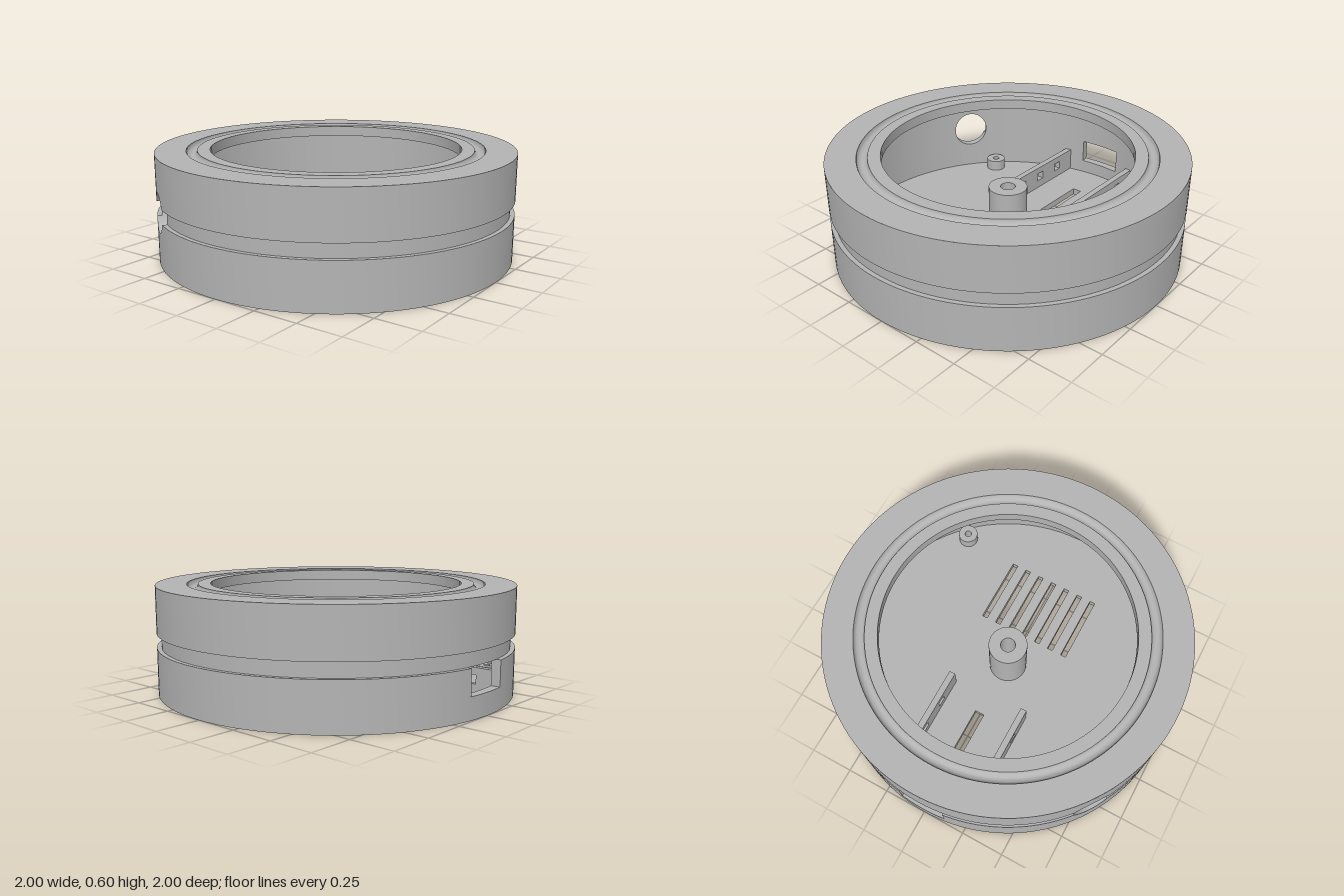
import * as THREE from 'three';
import { toCreasedNormals } from 'three/addons/utils/BufferGeometryUtils.js';

const FLOOR = 0.04, CAVITY = 0.95, GROOVE = 0.975;
const PORT_ANGLE = -Math.PI / 2, PORT_HALF = Math.asin(0.135);
const HOLE_ANGLE = THREE.MathUtils.degToRad(-35), HOLE_R = 0.11, HOLE_HALF = Math.asin(HOLE_R);

// Angular stations around the wall, each with the gap [low, high] cut through it
function wallStations() {
  const list = [];
  const arc = (from, to, low, high) => {
    const n = Math.max(1, Math.ceil((to - from) / (Math.PI / 64)));
    for (let i = 0; i <= n; i++) list.push([from + (to - from) * i / n, low, high]);
  };
  arc(-Math.PI, PORT_ANGLE - PORT_HALF, 0.3, 0.3);
  arc(PORT_ANGLE - PORT_HALF, PORT_ANGLE + PORT_HALF, 0.12, 0.26);
  arc(PORT_ANGLE + PORT_HALF, HOLE_ANGLE - HOLE_HALF, 0.3, 0.3);
  for (let i = 1; i < 32; i++) {
    const d = -HOLE_HALF * Math.cos(Math.PI * i / 32);
    const h = Math.sqrt(Math.max(0, HOLE_R ** 2 - Math.sin(d) ** 2));
    list.push([HOLE_ANGLE + d, 0.3 - h, 0.3 + h]);
  }
  arc(HOLE_ANGLE + HOLE_HALF, Math.PI, 0.3, 0.3);
  return list;
}

// Sweeps a cross-section that changes with the station around the y axis
function sweep(stations, profileAt) {
  const rings = stations.map((s) => profileAt(s).map(([r, y]) =>
    new THREE.Vector3(r * Math.sin(s[0]), y, r * Math.cos(s[0]))));
  const pos = [], tri = new THREE.Triangle();
  const add = (a, b, c) => {
    if (tri.set(a, b, c).getArea() > 1e-9) for (const v of [a, b, c]) pos.push(v.x, v.y, v.z);
  };
  for (let i = 0; i + 1 < rings.length; i++) {
    const p = rings[i], q = rings[i + 1];
    for (let j = 0; j + 1 < p.length; j++) {
      add(p[j], q[j], p[j + 1]);
      add(q[j + 1], p[j + 1], q[j]);
    }
  }
  const geo = new THREE.BufferGeometry();
  geo.setAttribute('position', new THREE.Float32BufferAttribute(pos, 3));
  return toCreasedNormals(geo, 0.5);
}

const lathe = (points, segments) => toCreasedNormals(
  new THREE.LatheGeometry(points.map(([r, y]) => new THREE.Vector2(r, y)), segments), 0.5);

// Hollow standing post with a through hole
const post = (outer, inner, top) => lathe(
  [[outer, FLOOR], [outer, top], [inner, top], [inner, 0]], 40);

function rectPath(x0, x1, y0, y1) {
  return new THREE.Path([[x0, y0], [x1, y0], [x1, y1], [x0, y1]].map(([x, y]) => new THREE.Vector2(x, y)));
}

export function createModel() {
  const group = new THREE.Group();
  const grey = new THREE.MeshStandardMaterial({ color: 0xb4b4b4 });
  grey.name = 'plain grey';
  const add = (name, geo, x = 0, y = 0, z = 0) => {
    const mesh = new THREE.Mesh(geo, grey);
    mesh.name = name;
    mesh.position.set(x, y, z);
    group.add(mesh);
  };

  // Outer wall with the belt groove, round hole and square port
  const stations = wallStations();
  add('lowerWall', sweep(stations, ([, low]) => {
    const m = Math.min(0.26, low);
    return [[CAVITY, 0], [1, 0], [1, m], [GROOVE, m], [GROOVE, low], [CAVITY, low], [CAVITY, 0]];
  }));
  add('upperWall', sweep(stations, ([, , high]) => {
    const m = Math.max(0.34, high);
    return [[CAVITY, 0.54], [CAVITY, high], [GROOVE, high], [GROOVE, m], [1, m], [1, 0.6]];
  }));

  // Top rim with a half-round seal groove and an inward lip
  const rim = [[1, 0.6]];
  for (let i = 0; i <= 14; i++) {
    const a = Math.PI * i / 14;
    rim.push([0.8 + 0.03 * Math.cos(a), 0.6 - 0.03 * Math.sin(a)]);
  }
  rim.push([0.7, 0.6], [0.7, 0.54], [CAVITY, 0.54]);
  add('topRim', lathe(rim, 128));

  // Floor with vents, a long slot, a centre hole and screw holes
  const corners = [1, 3, 5, 7].map((k) => [0.88 * Math.cos(k * Math.PI / 4), 0.88 * Math.sin(k * Math.PI / 4)]);
  const floor = new THREE.Shape().absarc(0, 0, CAVITY + 0.005, 0, Math.PI * 2);
  for (let i = -3; i <= 3; i++) floor.holes.push(rectPath(0.2, 0.6, i * 0.09 - 0.016, i * 0.09 + 0.016));
  floor.holes.push(rectPath(-0.7, -0.35, -0.028, 0.028));
  for (const [x, y, r] of [[0, 0, 0.042], ...corners.map((c) => [...c, 0.02])]) {
    floor.holes.push(new THREE.Path().absarc(x, y, r, 0, Math.PI * 2));
  }
  const floorGeo = new THREE.ExtrudeGeometry(floor, { depth: FLOOR, bevelEnabled: false, curveSegments: 64 });
  add('floor', floorGeo.rotateX(-Math.PI / 2));

  // Centre boss and four screw posts
  add('centreBoss', post(0.11, 0.042, 0.36));
  for (const [x, z] of corners) add('screwPost', post(0.058, 0.02, 0.105), x, 0, z);

  // Pair of upright rails with small windows
  const rail = new THREE.Shape(rectPath(-0.93, -0.245, FLOOR - 0.01, 0.18).getPoints());
  for (const x of [-0.77, -0.59, -0.41]) rail.holes.push(rectPath(x - 0.028, x + 0.028, 0.09, 0.14));
  const railGeo = new THREE.ExtrudeGeometry(rail, { depth: 0.036, bevelEnabled: false });
  for (const z of [-0.235, 0.235]) add('rail', railGeo, 0, 0, z - 0.018);

  return group;
}
